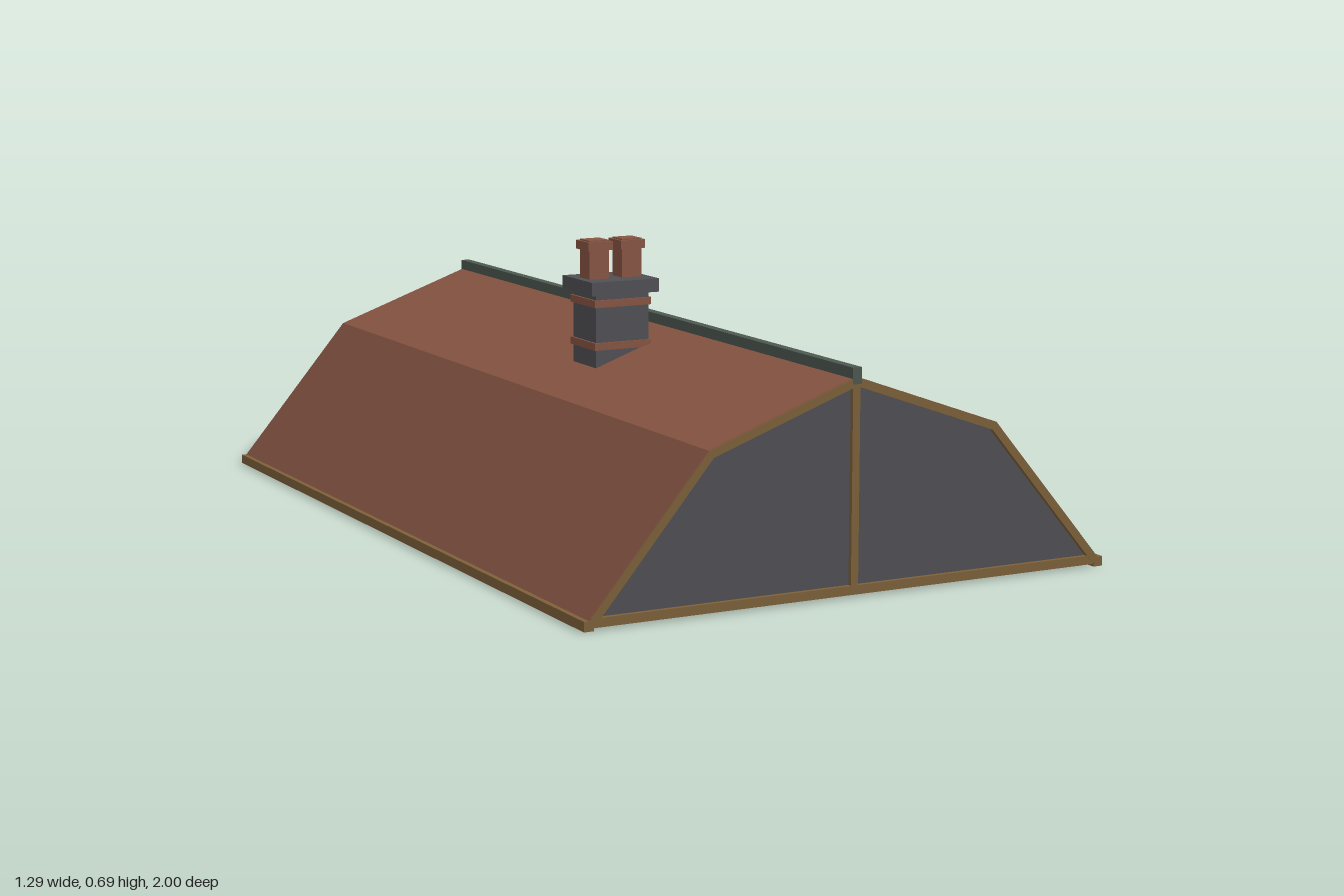
import * as THREE from 'three';

const mat = (name, color) => {
  const m = new THREE.MeshStandardMaterial({ color });
  m.name = name;
  return m;
};

// Right half of the roof outline (ridge, knee, eave), set in by t along its normals
const halfProfile = (t) => [
  [0, 0.481 - t * 1.063],
  [0.356 - t * 0.591, 0.354 - t * 0.849],
  [0.64 - t * 1.307, 0.018],
];
const fullProfile = (t) => {
  const h = halfProfile(t);
  return [[-h[2][0], h[2][1]], [-h[1][0], h[1][1]], ...h];
};
const toShape = (pts) => new THREE.Shape(pts.map(([x, y]) => new THREE.Vector2(x, y)));

export function createModel() {
  const model = new THREE.Group();
  model.name = 'gambrelRoof';
  const tile = mat('clay tile', 0x875542);
  const slate = mat('slate grey', 0x505055);
  const wood = mat('timber', 0x7d6139);
  const lead = mat('ridge lead', 0x4c5850);

  const add = (name, geometry, material, parent = model) => {
    const mesh = new THREE.Mesh(geometry, material);
    mesh.name = name;
    parent.add(mesh);
    return mesh;
  };
  const box = (name, material, [x0, x1], [y0, y1], [z0, z1], parent) => {
    const m = add(name, new THREE.BoxGeometry(x1 - x0, y1 - y0, z1 - z0), material, parent);
    m.position.set((x0 + x1) / 2, (y0 + y1) / 2, (z0 + z1) / 2);
    return m;
  };
  // Flat outline pushed from z0 to z1
  const slab = (name, pts, material, z0, z1) => {
    const g = new THREE.ExtrudeGeometry(toShape(pts), { depth: z1 - z0, bevelEnabled: false });
    add(name, g.translate(0, 0, z0), material);
  };
  const band = (outer, inner) => [...fullProfile(outer), ...fullProfile(inner).reverse()];

  // Roof shell, open underneath, with its ridge capping
  slab('roofShell', band(0, 0.01), tile, -0.998, 0.998);
  box('ridgeCap', lead, [-0.011, 0.011], [0.465, 0.501], [-1, 1]);

  // Gable ends: wall, verge boards, tie beam and centre post
  for (const s of [-1, 1]) {
    const span = (a, b) => (s > 0 ? [a, b] : [-b, -a]);
    slab('gableWall', fullProfile(0.011), slate, ...span(0.978, 0.988));
    slab('vergeBoards', band(0.001, 0.019), wood, ...span(0.976, 1));
    box('tieBeam', wood, [-0.63, 0.63], [0.01, 0.03], span(0.976, 0.999));
    box('gablePost', wood, [-0.009, 0.009], [0.012, 0.465], span(0.976, 0.998));
  }

  // Timbers running the length of each slope
  for (const s of [-1, 1]) {
    const span = (a, b) => (s > 0 ? [a, b] : [-b, -a]);
    box('eaveBeam', wood, span(0.622, 0.645), [0.004, 0.026], [-1, 1]);
    box('kneePurlin', wood, span(0.333, 0.35), [0.324, 0.341], [-0.976, 0.976]);
  }

  // Chimney stack passing through the slope
  const chimney = new THREE.Group();
  chimney.name = 'chimney';
  chimney.position.set(-0.155, 0, 0.162);
  model.add(chimney);
  const block = (name, material, w, d, y0, y1, x = 0) =>
    box(name, material, [x - w / 2, x + w / 2], [y0, y1], [-d / 2, d / 2], chimney);
  block('stack', slate, 0.136, 0.116, 0.165, 0.58);
  for (const y of [0.265, 0.443, 0.542]) block('brickBand', tile, 0.146, 0.126, y, y + 0.017);
  block('stackCap', slate, 0.173, 0.153, 0.572, 0.603);

  // Square pots, each with a collar around the rim
  for (const x of [-0.042, 0.042]) {
    block('pot', tile, 0.05, 0.05, 0.6, 0.693, x);
    block('potCollar', tile, 0.063, 0.063, 0.67, 0.69, x);
  }
  return model;
}
